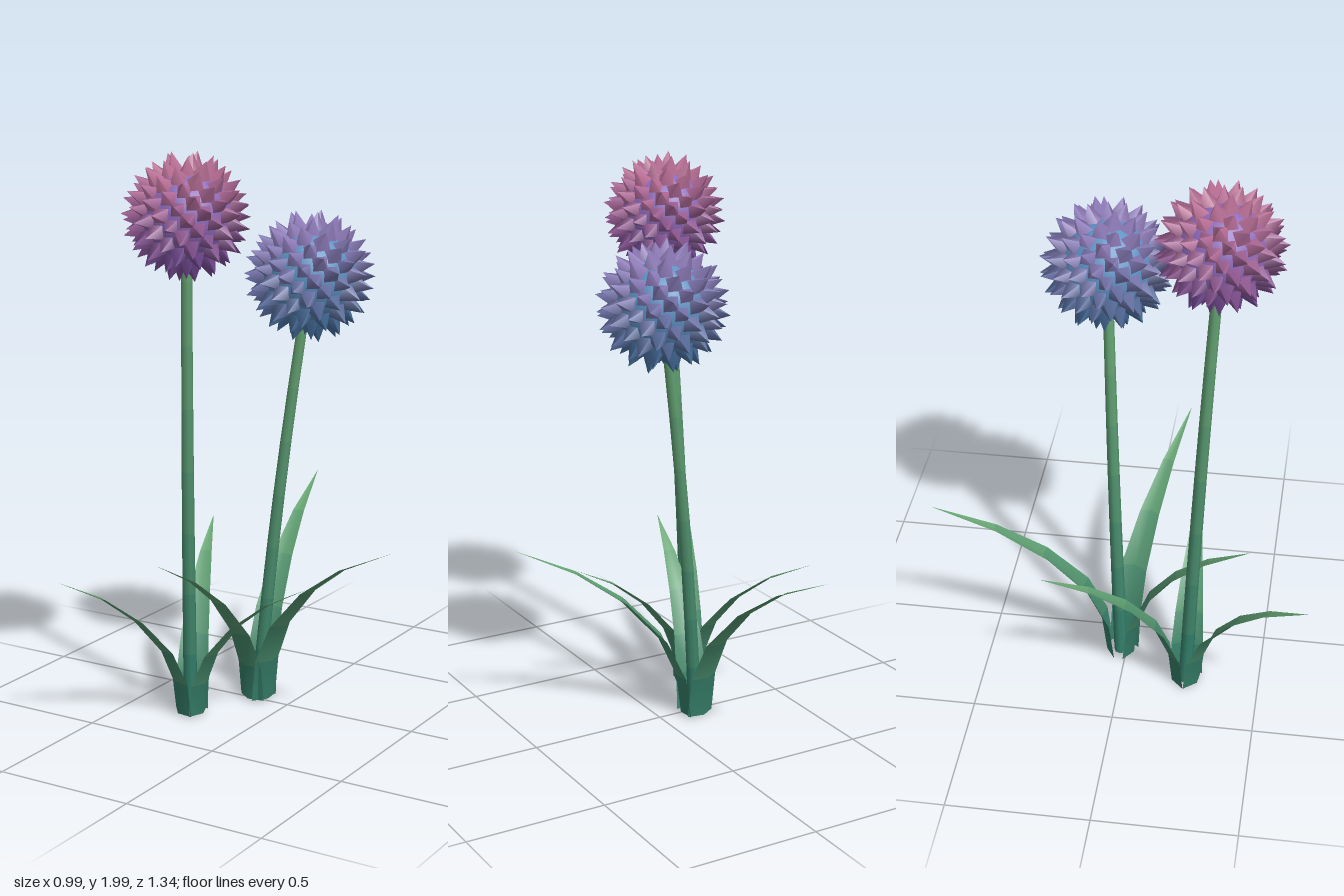
import * as THREE from 'three';
import { mergeGeometries } from 'three/addons/utils/BufferGeometryUtils.js';

const V = (x, y, z) => new THREE.Vector3(x, y, z);
const LOW = 0x2c7a68, HIGH = 0x6ba873;

const mix = (a, b, t) => new THREE.Color(a).lerp(new THREE.Color(b), t);

function add(parent, name, geometry, color, side = THREE.FrontSide) {
  const mesh = new THREE.Mesh(geometry, new THREE.MeshStandardMaterial({ color, side }));
  mesh.name = name;
  parent.add(mesh);
}

// Skins rows of points; each step between rows is a band with its own green
function skin(name, rows, closed, colorAt) {
  const group = new THREE.Group();
  group.name = name;
  const n = rows[0].length, cols = closed ? n : n - 1;
  const whole = new THREE.BufferGeometry().setFromPoints(rows.flat());
  const bands = [];
  for (let i = 0; i < rows.length - 1; i++) {
    const band = [];
    for (let j = 0; j < cols; j++) {
      const a = i * n + j, b = i * n + (j + 1) % n;
      band.push(a, a + n, b, b, a + n, b + n);
    }
    bands.push(band);
  }
  whole.setIndex(bands.flat());
  whole.computeVertexNormals();
  bands.forEach((band, i) => {
    const g = new THREE.BufferGeometry();
    g.setAttribute('position', whole.getAttribute('position'));
    g.setAttribute('normal', whole.getAttribute('normal'));
    g.setIndex(band);
    add(group, name + 'Band', g, colorAt((i + 0.5) / bands.length),
      closed ? THREE.FrontSide : THREE.DoubleSide);
  });
  return group;
}

// Slim tapering stalk, slightly bowed
function makeStem(base, bend, top) {
  const curve = new THREE.QuadraticBezierCurve3(base, bend, top);
  const rows = [];
  for (let i = 0; i <= 8; i++) {
    const p = curve.getPoint(i / 8), r = 0.025 - 0.007 * i / 8;
    rows.push(Array.from({ length: 8 }, (_, j) => {
      const a = j * Math.PI / 4;
      return V(p.x + r * Math.cos(a), p.y, p.z + r * Math.sin(a));
    }));
  }
  return skin('stem', rows, true, t => mix(LOW, HIGH, t));
}

// Arching blade with a folded midrib: [outward fraction, height fraction, width]
const BLADE = [
  [0, 0, 0.115], [0.03, 0.22, 0.115], [0.14, 0.44, 0.1],
  [0.37, 0.67, 0.075], [0.65, 0.85, 0.043], [1, 1, 0.001],
];
function makeLeaf(base, tip) {
  const out = V(tip.x - base.x, 0, tip.z - base.z);
  const reach = out.length() - 0.04;
  out.normalize();
  const across = V(-out.z, 0, out.x);
  const rows = BLADE.map(([f, h, w]) => {
    const c = base.clone().addScaledVector(out, 0.04 + reach * f).setY(0.005 + (tip.y - 0.005) * h);
    return [-1, 0, 1].map(s => c.clone().addScaledVector(across, s * w / 2)
      .addScaledVector(out, s ? -0.1 * w : 0.1 * w));
  });
  return skin('leaf', rows, false, t => mix(LOW, HIGH, t));
}

// Round flower head: a core studded with four-sided pointed petals
function makeHead(center, radius, coreColor, low, high) {
  const head = new THREE.Group();
  head.name = 'flowerHead';
  head.position.copy(center);
  add(head, 'core', new THREE.IcosahedronGeometry(radius * 0.73, 3), coreColor);

  const length = radius * 0.38;
  const petal = new THREE.ConeGeometry(radius * 0.2, length, 4, 1, true, Math.PI / 4);
  petal.translate(0, length / 2, 0).rotateX(Math.PI / 2);
  const count = 120, bands = 6;
  const sets = Array.from({ length: bands }, () => []);
  for (let i = 0; i < count; i++) {
    const y = 1 - 2 * (i + 0.5) / count, r = Math.sqrt(1 - y * y), a = i * 2.39996;
    const dir = V(r * Math.cos(a), y, r * Math.sin(a));
    const m = new THREE.Matrix4().lookAt(dir, V(0, 0, 0), V(0, 1, 0));
    const start = radius * (i % 3 === 0 ? 0.59 : 0.62);
    m.setPosition(dir.multiplyScalar(start));
    sets[Math.min(bands - 1, Math.floor((y + 1) / 2 * bands))].push(petal.clone().applyMatrix4(m));
  }
  sets.forEach((set, i) =>
    add(head, 'petals', mergeGeometries(set), mix(low, high, i / (bands - 1))));
  return head;
}

function makeFlower(name, f) {
  const flower = new THREE.Group();
  flower.name = name;
  flower.add(makeStem(f.base, f.bend, f.head));
  f.tips.forEach(tip => flower.add(makeLeaf(f.base, tip)));
  flower.add(makeHead(f.head, f.radius, f.core, f.low, f.high));
  return flower;
}

export function createModel() {
  const model = new THREE.Group();
  model.name = 'flowers';
  model.add(makeFlower('tallPinkFlower', {
    base: V(-0.26, 0, 0.235), bend: V(-0.245, 0.9, 0.265), head: V(-0.2, 1.78, 0.315),
    radius: 0.219, core: 0x8a68b8, low: 0x7a4f9a, high: 0xba6f96,
    tips: [V(-0.47, 0.58, -0.25), V(0.21, 0.53, 0.23), V(-0.5, 0.56, 0.67)],
  }));
  model.add(makeFlower('shortBlueFlower', {
    base: V(-0.135, 0, -0.02), bend: V(-0.085, 0.75, -0.055), head: V(0.04, 1.548, -0.088),
    radius: 0.231, core: 0x5b8fc0, low: 0x48709f, high: 0x8f7cba,
    tips: [V(-0.26, 0.69, -0.67), V(0.49, 0.68, 0.16), V(-0.25, 0.6, 0.45)],
  }));
  return model;
}
